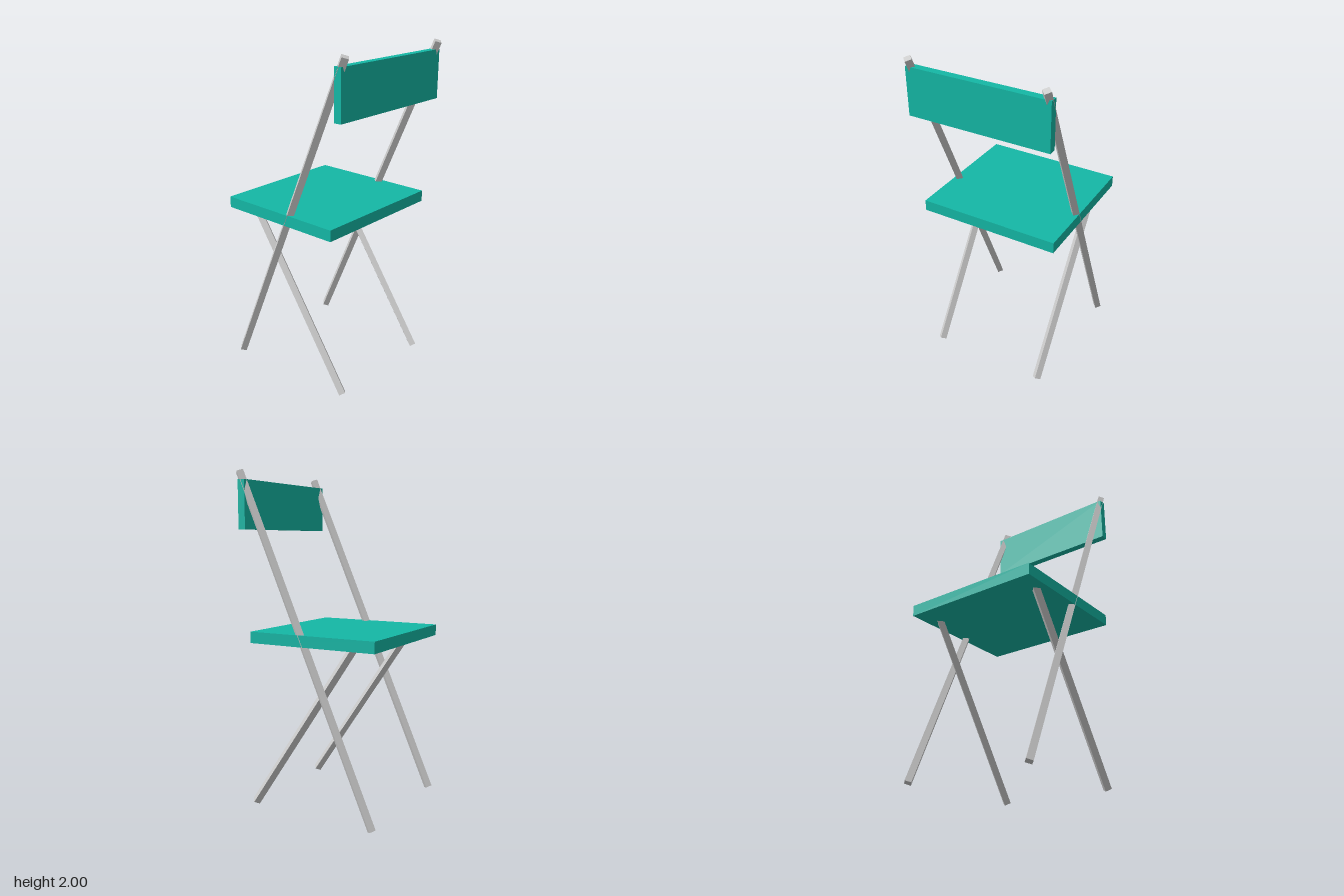
import * as THREE from 'three';

const grey = new THREE.MeshStandardMaterial({ color: 0xcccccc, flatShading: true });
const teal = new THREE.MeshStandardMaterial({ color: 0x14b8a6, flatShading: true });

// Box panel given by its size and centre
function panel(name, w, h, d, y, z) {
  const mesh = new THREE.Mesh(new THREE.BoxGeometry(w, h, d), teal);
  mesh.name = name;
  mesh.position.set(0, y, z);
  return mesh;
}

// Four-sided bar, edge facing sideways, running from bottom to top in a plane of constant x
function bar(name, x, [y0, z0], [y1, z1]) {
  const dy = y1 - y0, dz = z1 - z0;
  const mesh = new THREE.Mesh(new THREE.CylinderGeometry(0.027, 0.027, Math.hypot(dy, dz), 4), grey);
  mesh.name = name;
  mesh.position.set(x, (y0 + y1) / 2, (z0 + z1) / 2);
  mesh.rotation.x = Math.atan2(dz, dy);
  return mesh;
}

export function createModel() {
  const chair = new THREE.Group();
  chair.name = 'foldingChair';

  // Seat and backrest
  chair.add(panel('seat', 0.856, 0.067, 0.808, 1.038, -0.049));
  chair.add(panel('backrest', 0.856, 0.282, 0.046, 1.8, 0.403));

  // Crossed legs on both sides: the long one carries the backrest, the short one ends in the seat
  for (const [label, side] of [['left', 1], ['right', -1]]) {
    chair.add(bar(label + 'LongLeg', side * 0.403, [0.011, -0.43], [1.989, 0.43]));
    chair.add(bar(label + 'ShortLeg', side * 0.357, [0.015, 0.384], [1.04, -0.307]));
  }
  return chair;
}
